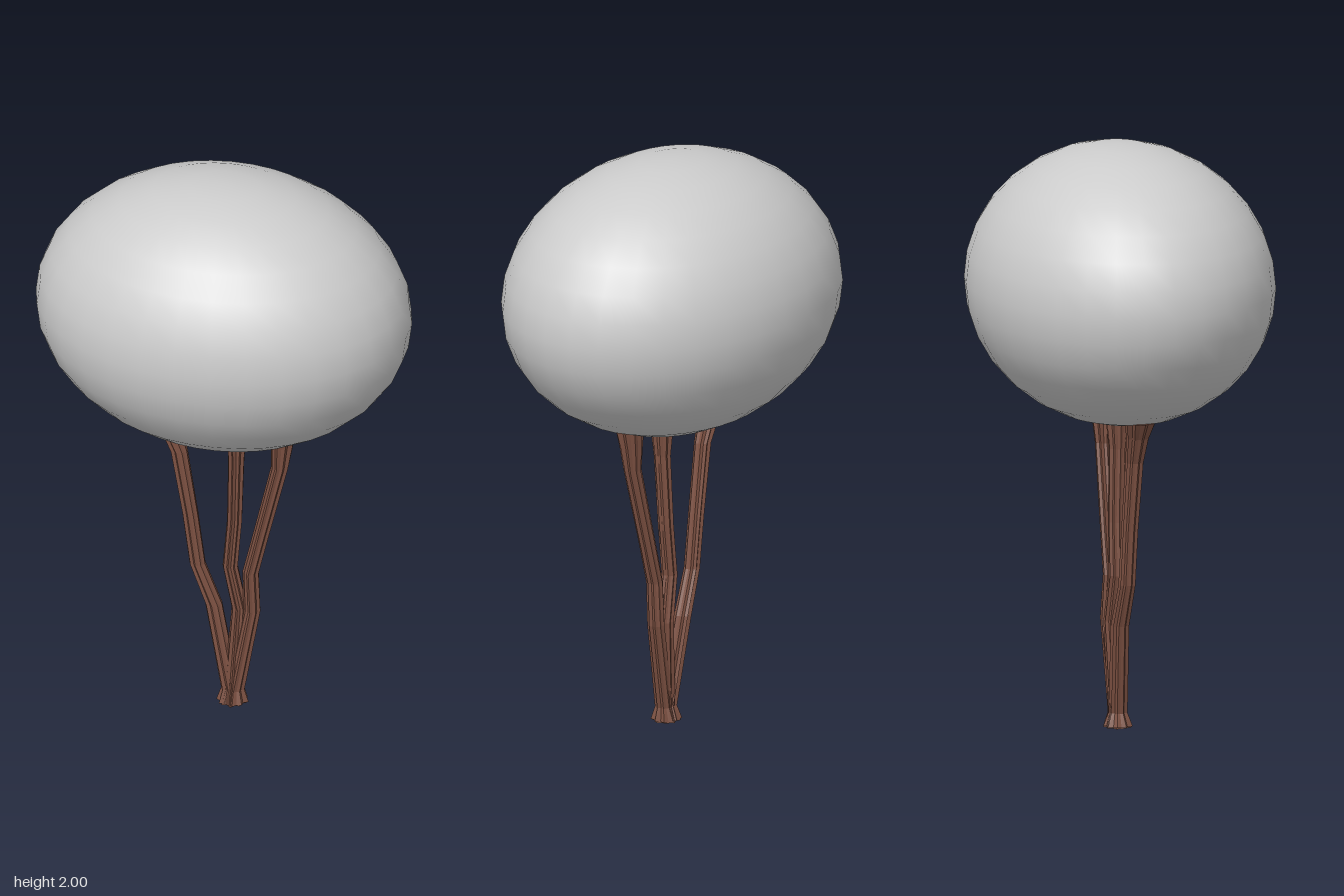
import * as THREE from 'three';

const SIDES = 18;

// Grooved stem lofted through rings of [x, y, z, radius], closed at both ends
function stemGeometry(rings, phase) {
  const pos = [], index = [];
  rings.forEach(([x, y, z, r], k) => {
    for (let i = 0; i < SIDES; i++) {
      const a = (i / SIDES) * Math.PI * 2 + phase + k * 0.04;
      // alternating ridges and grooves with a slight irregularity
      const rr = r * ((i % 2 ? 0.84 : 1.04) + 0.06 * Math.sin(i * 2.3 + phase * 5));
      pos.push(x + Math.cos(a) * rr, y, z + Math.sin(a) * rr);
    }
  });
  for (let k = 0; k < rings.length - 1; k++) {
    for (let i = 0; i < SIDES; i++) {
      const j = (i + 1) % SIDES;
      const a = k * SIDES + i, b = k * SIDES + j;
      index.push(a, a + SIDES, b, b, a + SIDES, b + SIDES);
    }
  }
  // end caps as fans around a centre point
  const last = (rings.length - 1) * SIDES;
  const bottom = pos.length / 3, top = bottom + 1;
  pos.push(...rings[0].slice(0, 3), ...rings[rings.length - 1].slice(0, 3));
  for (let i = 0; i < SIDES; i++) {
    const j = (i + 1) % SIDES;
    index.push(bottom, i, j, top, last + j, last + i);
  }
  const g = new THREE.BufferGeometry();
  g.setAttribute('position', new THREE.Float32BufferAttribute(pos, 3));
  g.setIndex(index);
  g.computeVertexNormals();
  return g;
}

export function createModel() {
  const group = new THREE.Group();
  const leaf = new THREE.MeshStandardMaterial({ color: 0xcccccc });
  const bark = new THREE.MeshStandardMaterial({ color: 0x7d5142, flatShading: true });

  // Egg-shaped crown
  const crown = new THREE.Mesh(new THREE.SphereGeometry(1, 32, 16), leaf);
  crown.name = 'crown';
  crown.scale.set(0.645, 0.475, 0.51);
  crown.position.y = 1.525;
  group.add(crown);

  // Three bent stems growing from one flared foot
  const stems = {
    rightStem: [
      [0.022, 0.005, 0, 0.046], [0.022, 0.05, 0, 0.03], [-0.04, 0.36, -0.012, 0.029],
      [-0.095, 0.51, -0.004, 0.027], [-0.12, 0.7, -0.002, 0.027],
      [-0.158, 0.94, 0.003, 0.029], [-0.192, 1.03, 0.004, 0.036], [-0.22, 1.09, 0.004, 0.05],
    ],
    middleStem: [
      [0.03, 0, 0, 0.046], [0.032, 0.05, 0, 0.03], [0.05, 0.36, -0.014, 0.027],
      [0.02, 0.52, -0.006, 0.026], [0.036, 0.7, -0.004, 0.026],
      [0.045, 0.95, 0.004, 0.028], [0.046, 1.03, 0.004, 0.036], [0.046, 1.075, 0.004, 0.042],
    ],
    leftStem: [
      [0.037, 0.005, 0, 0.046], [0.04, 0.05, 0, 0.03], [0.095, 0.36, -0.012, 0.028],
      [0.093, 0.51, -0.004, 0.027], [0.127, 0.65, -0.003, 0.027],
      [0.198, 0.94, 0.002, 0.029], [0.206, 1.03, 0.002, 0.038], [0.21, 1.085, 0.004, 0.046],
    ],
  };
  Object.entries(stems).forEach(([name, rings], n) => {
    const stem = new THREE.Mesh(stemGeometry(rings, n * 0.7), bark);
    stem.name = name;
    group.add(stem);
  });
  return group;
}
